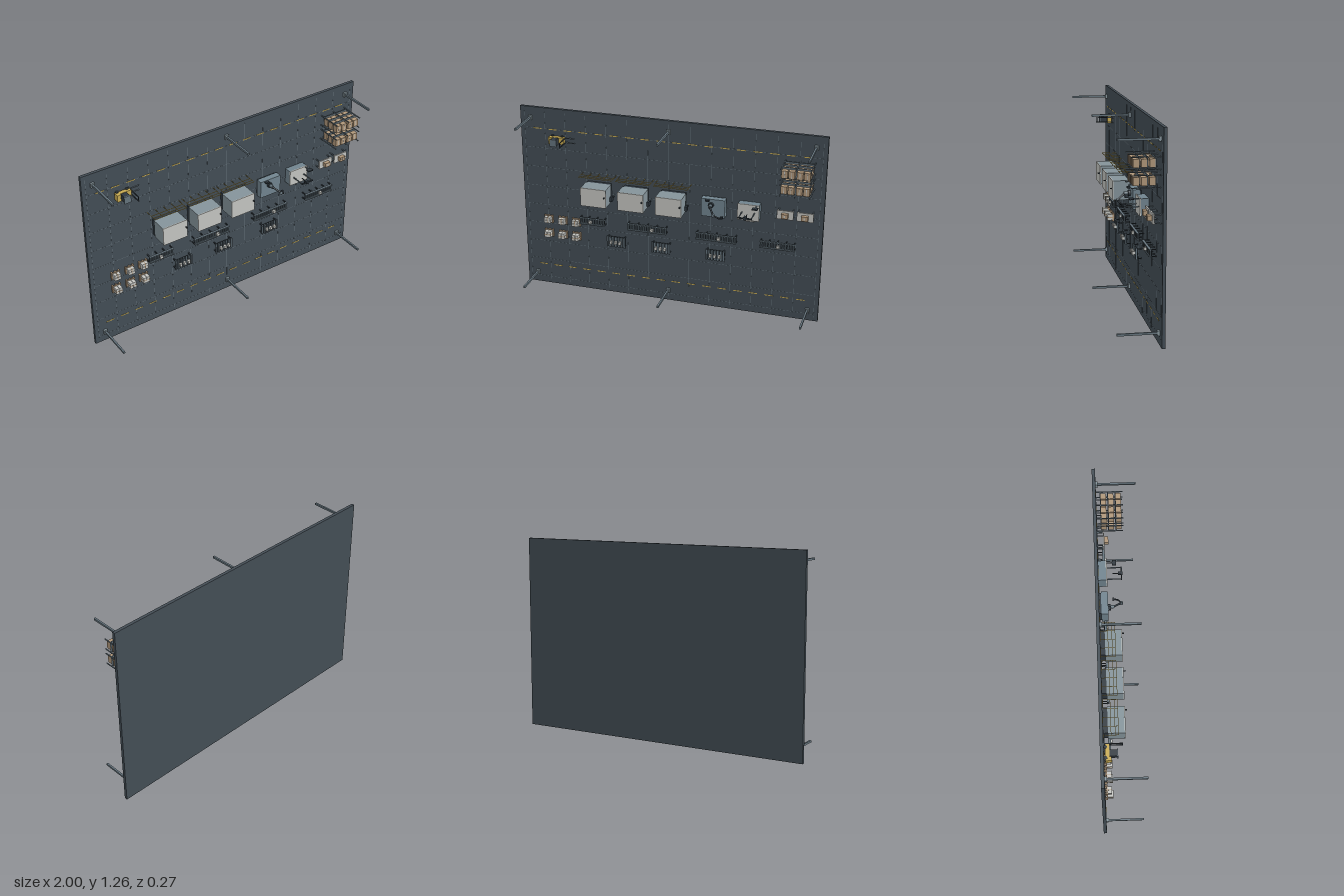
import * as THREE from 'three';

const mat = (name, color) => {
  const m = new THREE.MeshStandardMaterial({ color });
  m.name = name;
  return m;
};

export function createModel() {
  const floorGrey = mat('floor grey', 0x434d55);
  const dark = mat('dark metal', 0x2f383f);
  const steel = mat('steel', 0x65747d);
  const body = mat('machine grey', 0x84939a);
  const blue = mat('cell blue grey', 0x71848f);
  const light = mat('light panel', 0xc4c5c1);
  const tan = mat('carton tan', 0xb0977a);
  const yellow = mat('safety yellow', 0xc8ab52);

  const root = new THREE.Group();
  root.name = 'factoryFloor';
  root.position.z = -0.113; // walking surface; heights below are measured from it along z

  const group = (name, x = 0, y = 0, parent = root) => {
    const g = new THREE.Group();
    g.name = name;
    g.position.set(x, y, 0);
    parent.add(g);
    return g;
  };
  // Box centred on x, y and reaching from height a to height b
  const box = (p, name, m, x, y, w, h, a, b) => {
    const mesh = new THREE.Mesh(new THREE.BoxGeometry(w, h, b - a), m);
    mesh.name = name;
    mesh.position.set(x, y, (a + b) / 2);
    p.add(mesh);
    return mesh;
  };
  // Round bar between two points
  const bar = (p, name, m, from, to, r) => {
    const A = new THREE.Vector3(...from), B = new THREE.Vector3(...to);
    const mesh = new THREE.Mesh(new THREE.CylinderGeometry(r, r, A.distanceTo(B), 14), m);
    mesh.name = name;
    mesh.position.copy(A).lerp(B, 0.5);
    mesh.quaternion.setFromUnitVectors(new THREE.Vector3(0, 1, 0), B.clone().sub(A).normalize());
    p.add(mesh);
  };

  // Floor slab, tile seams and aisle dashes
  box(root, 'floorSlab', floorGrey, 0, 0.63, 2, 1.26, -0.02, 0);
  for (let i = -7; i <= 7; i++) box(root, 'seam', steel, i * 0.139, 0.63, 0.0018, 1.21, 0, 0.0006);
  for (let i = 0; i < 9; i++) box(root, 'seam', steel, 0, 0.047 + i * 0.134, 1.95, 0.0018, 0, 0.0006);
  for (const y of [0.14, 1.118])
    for (let i = 0; i < 18; i++) box(root, 'aisleDash', yellow, -0.885 + i * 0.104, y, 0.056, 0.006, 0, 0.0015);

  // Building columns
  for (const x of [-0.93, 0, 0.93]) for (const y of [0.073, 1.188]) {
    const g = group('column', x, y);
    box(g, 'footing', body, 0, 0, 0.024, 0.03, 0, 0.014);
    box(g, 'shaft', steel, 0, 0, 0.012, 0.013, 0.014, 0.246);
  }

  // Three large enclosed machines with railings
  for (const x of [-0.465, -0.214, 0.037]) {
    const g = group('machine', x, 0.733);
    box(g, 'plinth', dark, 0, 0, 0.16, 0.116, 0, 0.028);
    box(g, 'housing', body, 0, 0, 0.17, 0.122, 0.028, 0.13);
    box(g, 'roof', light, 0, 0, 0.172, 0.124, 0.13, 0.136);
    box(g, 'doorWindow', dark, -0.02, -0.062, 0.08, 0.003, 0.06, 0.11);
    box(g, 'doorStep', light, 0, -0.076, 0.065, 0.005, 0.004, 0.01);
    box(g, 'controlPost', dark, 0.094, -0.03, 0.006, 0.006, 0, 0.045);
    box(g, 'controlBox', dark, 0.094, -0.03, 0.016, 0.03, 0.035, 0.06);
    box(g, 'beacon', dark, 0.077, 0.012, 0.007, 0.007, 0.136, 0.15);
    const f = group('railing', 0, 0.115, g);
    for (const h of [0.045, 0.07, 0.09]) box(f, 'rail', yellow, 0, 0, 0.226, 0.0025, h, h + 0.003);
    for (let i = 0; i < 5; i++) box(f, 'railPost', yellow, -0.112 + i * 0.056, 0, 0.0025, 0.0025, 0, 0.093);
  }

  // Robot cell with a jointed arm
  {
    const g = group('robotCell', 0.307, 0.73);
    box(g, 'plinth', dark, 0, 0, 0.14, 0.105, 0, 0.012);
    box(g, 'housing', blue, 0, 0, 0.155, 0.12, 0.012, 0.055);
    bar(g, 'turntable', dark, [-0.012, 0.022, 0.055], [-0.012, 0.022, 0.07], 0.018);
    bar(g, 'turret', steel, [-0.012, 0.022, 0.07], [-0.012, 0.022, 0.095], 0.011);
    bar(g, 'lowerArm', dark, [-0.012, 0.022, 0.09], [0.024, -0.01, 0.14], 0.006);
    bar(g, 'elbow', steel, [0.018, -0.017, 0.14], [0.03, -0.003, 0.14], 0.009);
    bar(g, 'upperArm', dark, [0.024, -0.01, 0.14], [0.056, -0.036, 0.12], 0.005);
    bar(g, 'wrist', dark, [0.056, -0.036, 0.12], [0.066, -0.042, 0.095], 0.005);
    box(g, 'gripper', dark, 0.066, -0.042, 0.016, 0.016, 0.085, 0.096);
    box(g, 'controlBox', dark, -0.035, 0.052, 0.025, 0.01, 0.055, 0.072);
  }

  // Inspection cell with gantry and console
  {
    const g = group('inspectionCell', 0.534, 0.73);
    box(g, 'housing', blue, 0, 0, 0.136, 0.104, 0, 0.048);
    box(g, 'tableTop', light, 0, 0, 0.14, 0.108, 0.048, 0.055);
    for (const s of [-1, 1]) box(g, 'gantryLeg', steel, s * 0.04, 0, 0.005, 0.007, 0.055, 0.148);
    box(g, 'gantryBeam', dark, 0, 0, 0.09, 0.008, 0.143, 0.151);
    box(g, 'probeHead', dark, 0, 0, 0.018, 0.018, 0.125, 0.154);
    bar(g, 'probe', dark, [0, 0, 0.09], [0, 0, 0.125], 0.003);
    box(g, 'consolePost', steel, 0.052, 0.05, 0.006, 0.006, 0.055, 0.09);
    box(g, 'console', dark, 0.052, 0.05, 0.036, 0.008, 0.088, 0.115);
    box(g, 'doorStep', light, 0, -0.079, 0.064, 0.005, 0.004, 0.01);
  }

  // Packing tables
  for (const x of [0.765, 0.89]) {
    const g = group('packingTable', x, 0.738);
    for (const sx of [-1, 1]) for (const sy of [-1, 1])
      box(g, 'tableLeg', steel, sx * 0.046, sy * 0.024, 0.006, 0.006, 0, 0.036);
    box(g, 'tableTop', light, 0, 0, 0.104, 0.058, 0.036, 0.045);
    box(g, 'carton', tan, 0, 0, 0.042, 0.03, 0.045, 0.07);
    box(g, 'cartonTape', light, 0, 0, 0.008, 0.014, 0.07, 0.071);
  }

  // Storage racks with three loaded levels
  for (const y of [0.951, 1.053]) {
    const g = group('storageRack', 0.838, y);
    for (const x of [-0.092, 0, 0.092]) for (const s of [-1, 1])
      box(g, 'upright', steel, x, s * 0.035, 0.006, 0.005, 0, 0.166);
    for (const h of [0.03, 0.077, 0.123]) {
      for (const s of [-1, 1]) box(g, 'shelfBeam', steel, 0, s * 0.034, 0.184, 0.004, h - 0.006, h);
      box(g, 'shelf', steel, 0, 0, 0.18, 0.066, h - 0.004, h);
      for (const x of [-0.069, -0.025, 0.025, 0.069]) {
        box(g, 'carton', tan, x, 0, 0.038, 0.048, h, h + 0.032);
        box(g, 'cartonTape', light, x, 0, 0.004, 0.04, h + 0.032, h + 0.0325);
      }
    }
  }

  // Forklift
  {
    const g = group('forklift', -0.745, 1.057);
    box(g, 'chassis', yellow, 0, 0, 0.1, 0.046, 0.008, 0.034);
    box(g, 'counterweight', yellow, -0.038, 0, 0.024, 0.046, 0.034, 0.045);
    box(g, 'cab', dark, -0.003, 0, 0.038, 0.042, 0.034, 0.076);
    box(g, 'cabRoof', steel, -0.003, 0, 0.046, 0.048, 0.076, 0.083);
    for (const s of [-1, 1]) {
      for (const x of [-0.033, 0.033])
        bar(g, 'wheel', dark, [x, s * 0.018, 0.01], [x, s * 0.027, 0.01], 0.01);
      box(g, 'mast', dark, 0.053, s * 0.015, 0.006, 0.005, 0.004, 0.113);
      box(g, 'fork', steel, 0.086, s * 0.015, 0.062, 0.006, 0.006, 0.01);
    }
    box(g, 'mastTie', dark, 0.053, 0, 0.004, 0.03, 0.106, 0.112);
  }

  // Incoming pallets with stacked parts
  for (const x of [-0.83, -0.731, -0.635]) [0.487, 0.385].forEach((y, row) => {
    const g = group('loadedPallet', x, y);
    for (const s of [-1, 0, 1]) box(g, 'palletRunner', tan, s * 0.025, 0, 0.008, 0.052, 0, 0.009);
    box(g, 'palletDeck', tan, 0, 0, 0.06, 0.054, 0.009, 0.015);
    for (const sx of [-1, 1]) for (const sy of [-1, 1])
      box(g, 'partsBox', light, sx * 0.0115, sy * 0.0105, 0.021, 0.019, 0.015, row ? 0.05 : 0.042);
    box(g, 'strap', tan, 0, 0, row ? 0.047 : 0.005, row ? 0.005 : 0.042, 0.015, row ? 0.051 : 0.043);
  });

  // Roller conveyors: [centre x, length, part x]
  for (const [x, len, item] of [[-0.513, 0.175, -0.523], [-0.137, 0.266, -0.1], [0.325, 0.266, 0.345], [0.723, 0.225, 0.73]]) {
    const g = group('conveyor', x, 0.516);
    for (const s of [-1, 1]) {
      box(g, 'sideRail', steel, 0, s * 0.02, len, 0.005, 0.03, 0.045);
      const n = Math.round(len / 0.06);
      for (let i = 0; i <= n; i++)
        box(g, 'leg', dark, (i / n - 0.5) * (len - 0.01), s * 0.02, 0.006, 0.005, 0, 0.03);
    }
    box(g, 'bed', dark, 0, 0, len, 0.036, 0.028, 0.031);
    const rollers = Math.round(len / 0.017);
    for (let i = 0; i < rollers; i++) {
      const rx = ((i + 0.5) / rollers - 0.5) * len;
      bar(g, 'roller', steel, [rx, -0.018, 0.036], [rx, 0.018, 0.036], 0.005);
    }
    box(g, 'part', light, item - x, 0, 0.02, 0.018, 0.041, 0.056);
  }

  // Assembly benches with slats and three parts each
  for (const x of [-0.351, -0.043, 0.322]) {
    const g = group('assemblyBench', x, 0.39);
    for (const sx of [-1, 1]) for (const sy of [-1, 1])
      box(g, 'benchLeg', dark, sx * 0.055, sy * 0.03, 0.007, 0.006, 0, 0.026);
    box(g, 'benchTop', dark, 0, 0, 0.124, 0.07, 0.024, 0.03);
    for (let i = 0; i < 7; i++)
      box(g, 'slat', steel, (i - 3) * 0.0195, 0, 0.009, 0.074, 0.03, 0.037);
    for (const s of [-1, 0, 1]) box(g, 'part', light, s * 0.03, 0, 0.015, 0.02, 0.037, 0.054);
  }

  const model = new THREE.Group();
  model.name = 'model';
  model.add(root);
  return model;
}
